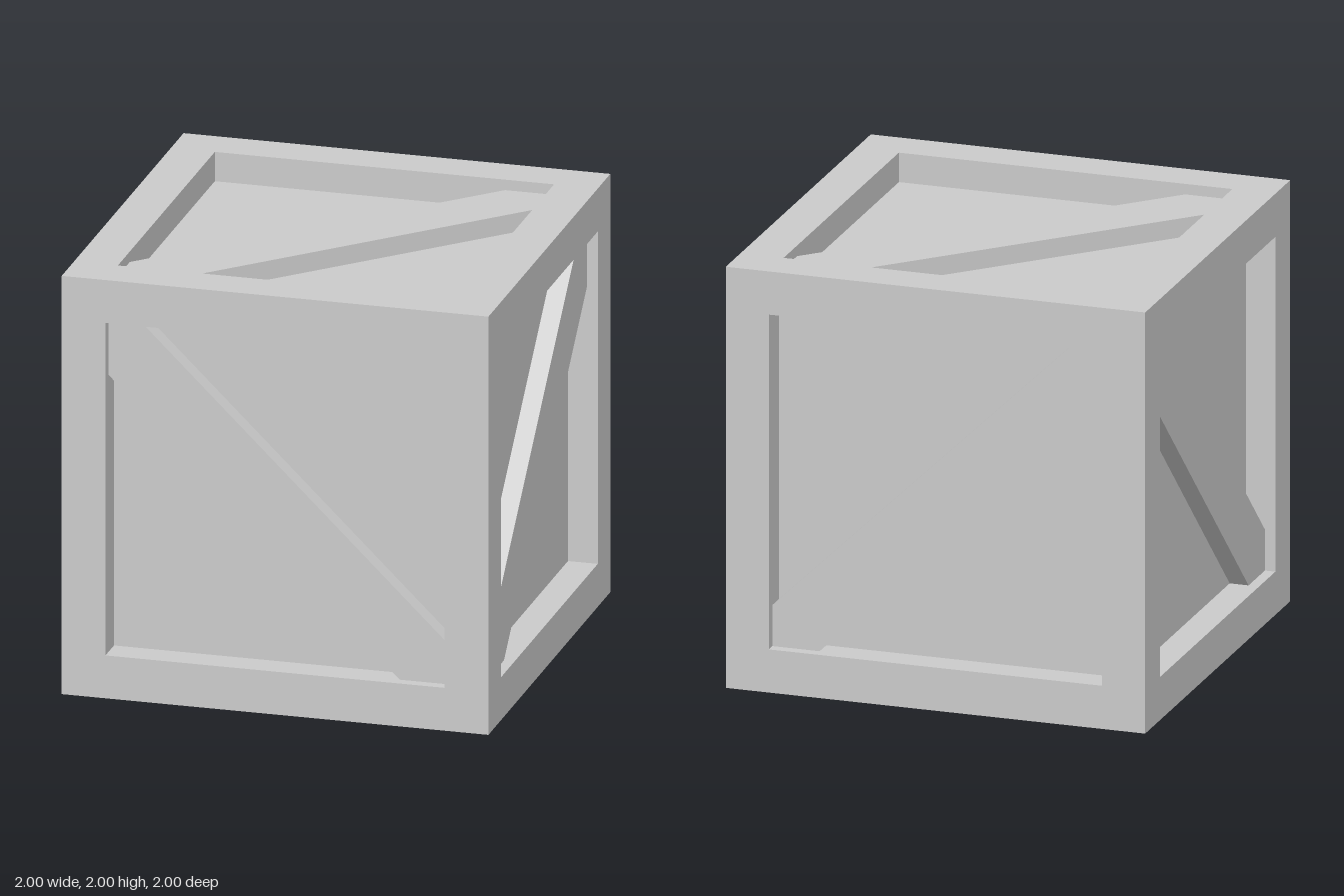
import * as THREE from 'three';

const OUTER = 1;      // half size of the crate
const INNER = 0.795;  // half size of each panel opening
const PANEL = 0.86;   // distance of the recessed panels from the centre
const BRACE = 0.95;   // distance of the brace faces from the centre

export function createModel() {
  const model = new THREE.Group();
  model.name = 'crate';
  const material = new THREE.MeshStandardMaterial({ color: 0xcccccc, flatShading: true });

  const body = new THREE.Group();
  body.name = 'crateBody';
  body.position.y = OUTER;
  model.add(body);

  const add = (name, geometry, x = 0, y = 0, z = 0) => {
    const mesh = new THREE.Mesh(geometry, material);
    mesh.name = name;
    mesh.position.set(x, y, z);
    body.add(mesh);
    return mesh;
  };

  // Recessed panels on all six sides
  add('panels', new THREE.BoxGeometry(2 * PANEL, 2 * PANEL, 2 * PANEL));

  // Frame: four full-height posts, with rails fitted between them
  const width = OUTER - INNER;
  const mid = (OUTER + INNER) / 2;
  const post = new THREE.BoxGeometry(width, 2 * OUTER, width);
  const railX = new THREE.BoxGeometry(2 * INNER, width, width);
  const railZ = new THREE.BoxGeometry(width, width, 2 * INNER);
  for (const a of [-mid, mid]) {
    for (const b of [-mid, mid]) {
      add('cornerPost', post, a, 0, b);
      add('crossRail', railX, 0, a, b);
      add('sideRail', railZ, a, b, 0);
    }
  }

  // Diagonal brace rising to the right, cut to fit two corners of the opening;
  // topX and topY are where its edges meet the upper corner's sides
  const braceGeometry = (topX, topY, mirror = 1) => {
    const points = [
      [-INNER, -INNER], [-0.57, -INNER], [INNER, topY],
      [INNER, INNER], [topX, INNER], [-INNER, -0.6],
    ].map(([x, y]) => new THREE.Vector2(mirror * x, y));
    return new THREE.ExtrudeGeometry(new THREE.Shape(points), {
      depth: BRACE - PANEL, bevelEnabled: false,
    });
  };

  // Each brace pair sits on opposite sides and shares one outline
  const pairs = [
    { names: ['frontBrace', 'backBrace'], geometry: braceGeometry(0.64, 0.53, -1), turn: [0, 0, 0] },
    { names: ['rightBrace', 'leftBrace'], geometry: braceGeometry(0.64, 0.53), turn: [0, Math.PI / 2, 0] },
    { names: ['topBrace', 'bottomBrace'], geometry: braceGeometry(0.565, 0.61), turn: [-Math.PI / 2, 0, 0] },
  ];
  for (const { names, geometry, turn } of pairs) {
    names.forEach((name, i) => {
      const brace = add(name, geometry);
      brace.rotation.set(...turn);
      brace.translateZ(i === 0 ? PANEL : -BRACE);
    });
  }

  return model;
}
